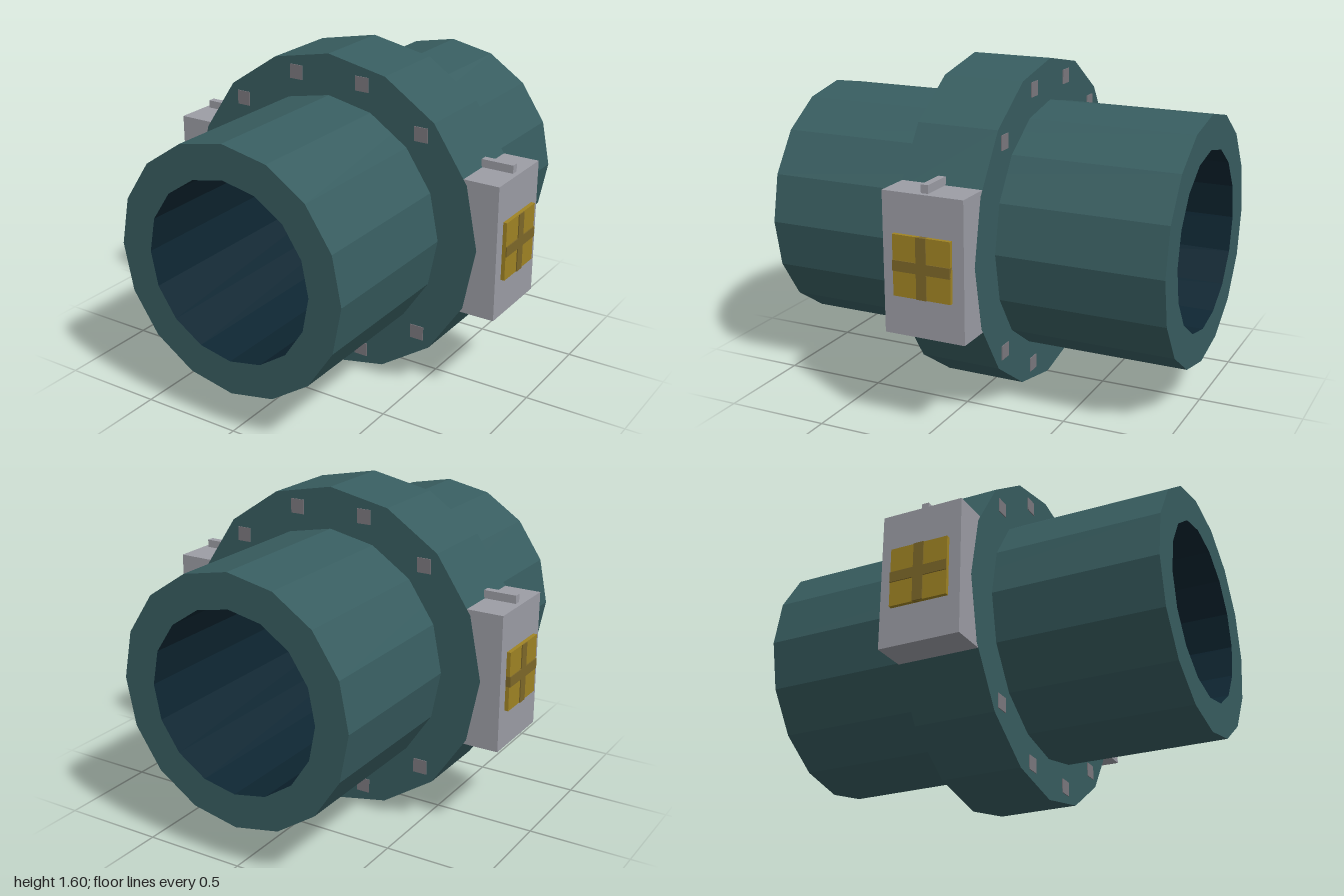
import * as THREE from 'three';

const material = (name, color, flat = false) => {
  const m = new THREE.MeshStandardMaterial({ color, flatShading: flat });
  m.name = name;
  return m;
};

export function createModel() {
  const teal = material('teal casing', 0x385d60, true);
  const navy = material('dark bore', 0x0e2632, true);
  const grey = material('light grey metal', 0x9c9da5);
  const boltGrey = material('bolt grey', 0x7b787e);
  const gold = material('gold panel', 0xa08424);
  const bronze = material('bronze bars', 0x7e6829);

  const group = new THREE.Group();
  group.name = 'pipeCoupling';
  const CENTER_Y = 0.8;

  const add = (name, geometry, mat, x = 0, y = 0, z = 0, parent = group) => {
    const mesh = new THREE.Mesh(geometry, mat);
    mesh.name = name;
    mesh.position.set(x, y, z);
    parent.add(mesh);
    return mesh;
  };

  // Sixteen-sided shell turned around the z axis from [radius, z] points
  const ring = (name, profile, mat) => {
    const points = profile.map(([r, z]) => new THREE.Vector2(r, z));
    const geometry = new THREE.LatheGeometry(points, 16).rotateX(Math.PI / 2);
    return add(name, geometry, mat, 0, CENTER_Y, 0);
  };

  // Pipe, its bore and the middle flange
  ring('pipe', [[0.435, -1], [0.6, -1], [0.6, 1], [0.435, 1]], teal);
  ring('bore', [[0.435, 1], [0.435, -1]], navy);
  ring('flange', [[0.58, -0.2], [0.8, -0.2], [0.8, 0.2], [0.58, 0.2]], teal);

  // Square bolt heads on both faces of the flange
  const boltGeometry = new THREE.BoxGeometry(0.07, 0.07, 0.02);
  for (const side of [1, -1]) {
    for (const degrees of [45, 75, 105, 135, 225, 255, 285, 315]) {
      const a = THREE.MathUtils.degToRad(degrees);
      add('bolt', boltGeometry, boltGrey,
        0.708 * Math.cos(a), CENTER_Y + 0.708 * Math.sin(a), side * 0.194);
    }
  }

  // Clamp box with a top tab and a barred panel on each side
  for (const side of [1, -1]) {
    const clamp = new THREE.Group();
    clamp.name = side > 0 ? 'leftClamp' : 'rightClamp';
    group.add(clamp);
    add('clampBox', new THREE.BoxGeometry(0.2, 0.66, 0.399), grey, side * 0.8, 0.803, 0, clamp);
    add('clampTab', new THREE.BoxGeometry(0.16, 0.06, 0.036), grey, side * 0.796, 1.142, 0, clamp);
    add('panel', new THREE.BoxGeometry(0.03, 0.285, 0.285), gold, side * 0.904, 0.803, 0, clamp);
    add('uprightBar', new THREE.BoxGeometry(0.03, 0.285, 0.05), bronze, side * 0.909, 0.803, 0, clamp);
    add('crossBar', new THREE.BoxGeometry(0.03, 0.05, 0.285), bronze, side * 0.909, 0.803, 0, clamp);
  }

  return group;
}
